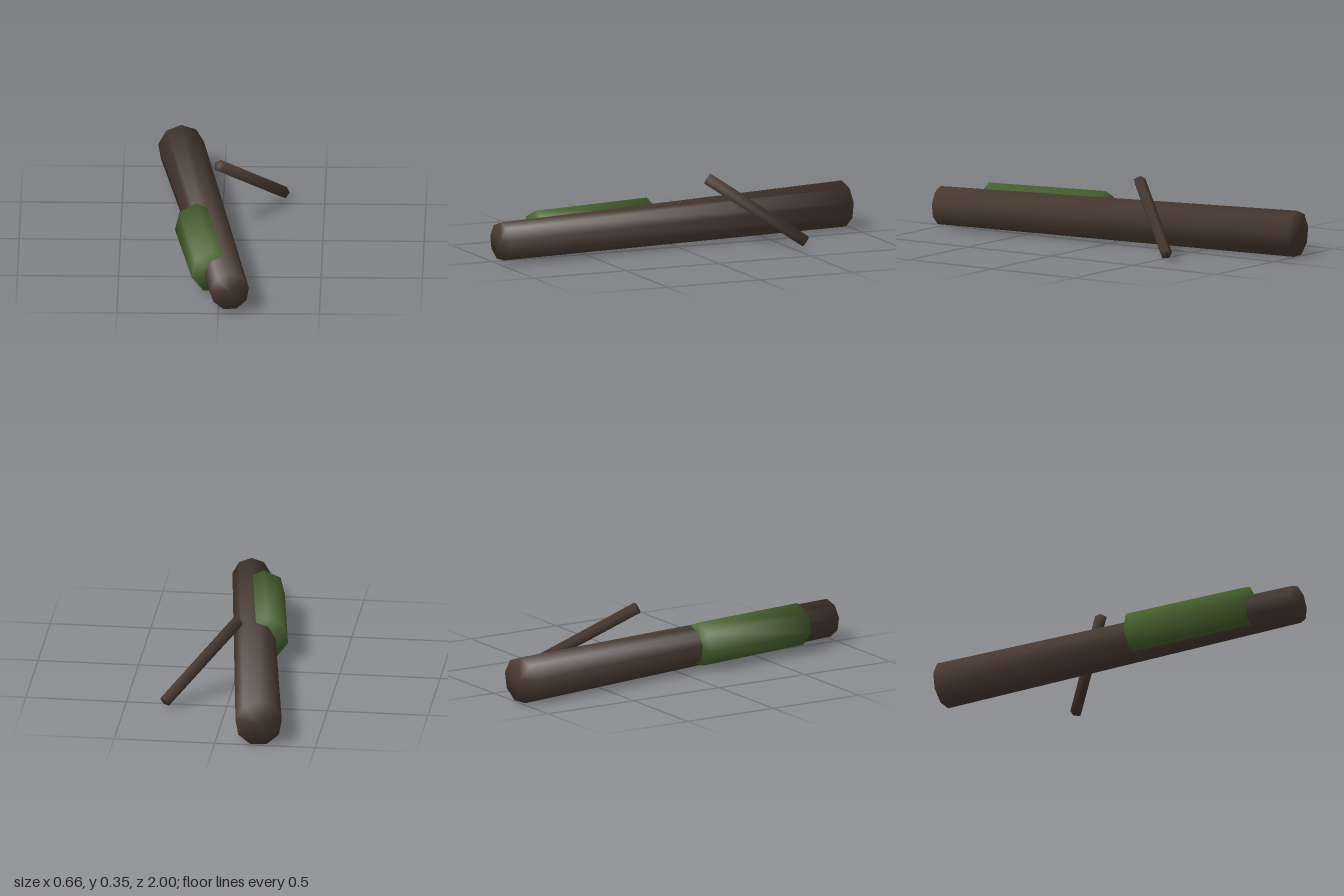
import * as THREE from 'three';

// Closed, softly shaded prism from point a to point b, with one corner pointing up
function limb(name, a, b, ra, rb, sides, material) {
  const start = new THREE.Vector3(...a);
  const end = new THREE.Vector3(...b);
  const axis = end.clone().sub(start);
  const geometry = new THREE.CylinderGeometry(rb, ra, axis.length(), sides, 1);

  // Blend the rim normals between side and cap so the ends look rounded
  const { position, normal } = geometry.attributes;
  const n = new THREE.Vector3();
  for (let i = 0; i < position.count; i++) {
    const tilt = Math.sign(position.getY(i));
    n.set(position.getX(i), 0, position.getZ(i));
    if (n.length() > 1e-6) n.normalize().setY(tilt * 0.8).normalize();
    else n.set(0, tilt, 0);
    normal.setXYZ(i, n.x, n.y, n.z);
  }

  const y = axis.normalize();
  const z = new THREE.Vector3(0, 1, 0);
  z.addScaledVector(y, -z.dot(y)).normalize();
  const x = new THREE.Vector3().crossVectors(y, z);

  const mesh = new THREE.Mesh(geometry, material);
  mesh.name = name;
  mesh.quaternion.setFromRotationMatrix(new THREE.Matrix4().makeBasis(x, y, z));
  mesh.position.copy(start).add(end).multiplyScalar(0.5);
  return mesh;
}

export function createModel() {
  const bark = new THREE.MeshStandardMaterial({ color: 0x4a3b32 });
  bark.name = 'bark brown';
  const moss = new THREE.MeshStandardMaterial({ color: 0x4a6630 });
  moss.name = 'moss green';

  const group = new THREE.Group();
  group.name = 'fallenLog';
  group.add(
    // Tapered trunk lying on the ground
    limb('trunk', [-0.217, 0.11, -0.985], [0.058, 0.11, 0.983], 0.116, 0.0955, 9, bark),
    // Moss patch swelling out of the trunk's side
    limb('mossPatch', [-0.122, 0.127, 0.11], [-0.031, 0.126, 0.755], 0.11, 0.107, 7, moss),
    // Thin slanting branch
    limb('branch', [-0.016, 0.328, -0.17], [0.302, 0.036, -0.56], 0.031, 0.03, 5, bark),
  );
  return group;
}
